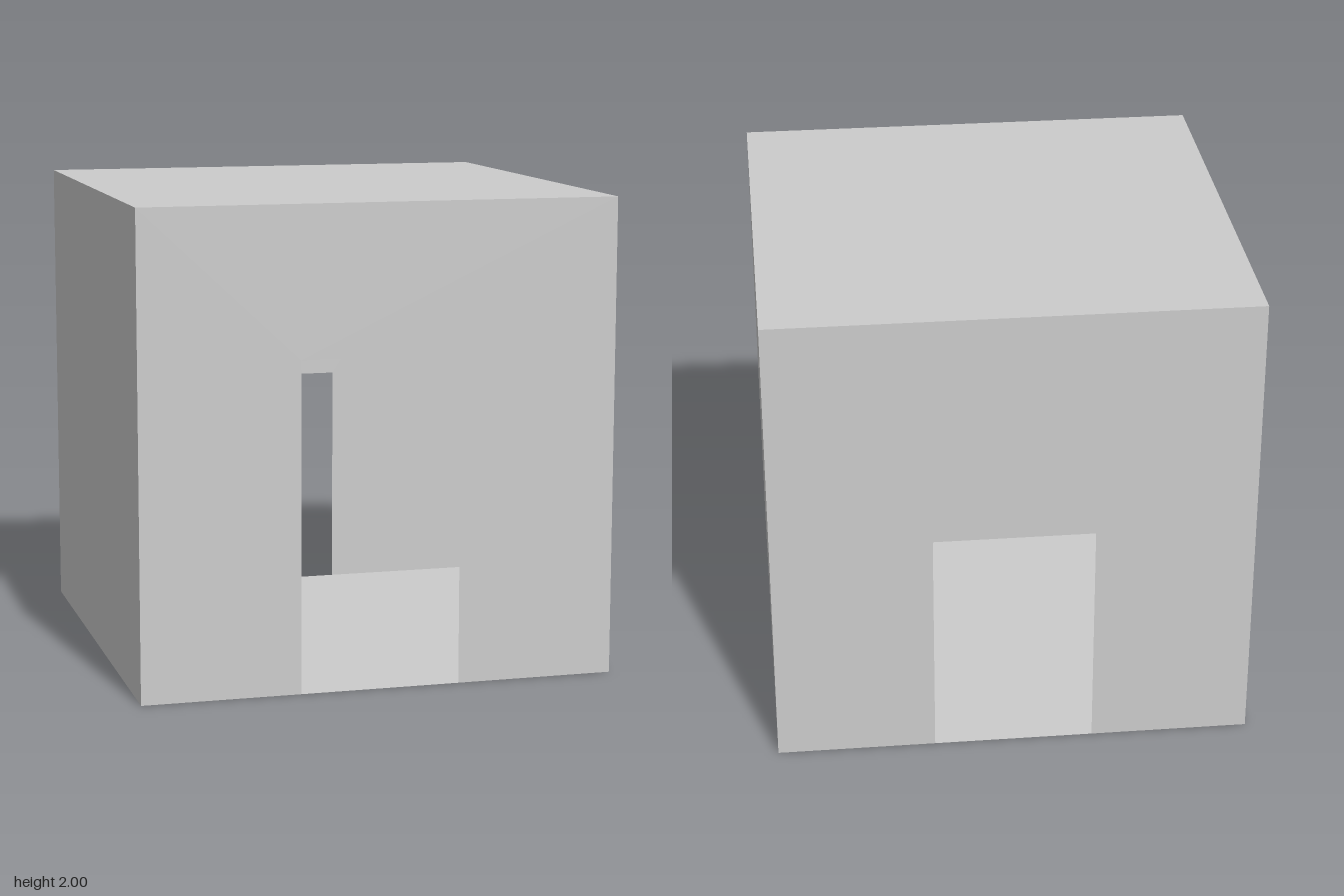
import * as THREE from 'three';

const SIZE = 2, HALF = SIZE / 2, DOOR = 0.335; // DOOR is half the doorway width

export function createModel() {
  const group = new THREE.Group();
  const material = new THREE.MeshStandardMaterial({ color: 0xcccccc, side: THREE.DoubleSide });

  const add = (name, geometry) => {
    const mesh = new THREE.Mesh(geometry, material);
    mesh.name = name;
    group.add(mesh);
    return mesh;
  };

  // Thin wall with a doorway open at the bottom
  const doorWall = (name, doorHeight) => {
    const outline = [
      [-HALF, 0], [-DOOR, 0], [-DOOR, doorHeight], [DOOR, doorHeight],
      [DOOR, 0], [HALF, 0], [HALF, SIZE], [-HALF, SIZE],
    ].map(([x, y]) => new THREE.Vector2(x, y));
    return add(name, new THREE.ShapeGeometry(new THREE.Shape(outline)));
  };

  // Front wall with the tall doorway, back wall with the low one
  doorWall('frontWall', 1.375).position.z = HALF;
  const back = doorWall('backWall', 1);
  back.rotation.y = Math.PI;
  back.position.z = -HALF;

  // Plain side walls
  for (const [name, side] of [['leftWall', 1], ['rightWall', -1]]) {
    const wall = add(name, new THREE.PlaneGeometry(SIZE, SIZE));
    wall.rotation.y = side * Math.PI / 2;
    wall.position.set(side * HALF, HALF, 0);
  }

  // Roof faces up, floor faces down
  for (const [name, y, tilt] of [['roof', SIZE, -1], ['floor', 0, 1]]) {
    const slab = add(name, new THREE.PlaneGeometry(SIZE, SIZE));
    slab.rotation.x = tilt * Math.PI / 2;
    slab.position.y = y;
  }

  return group;
}
